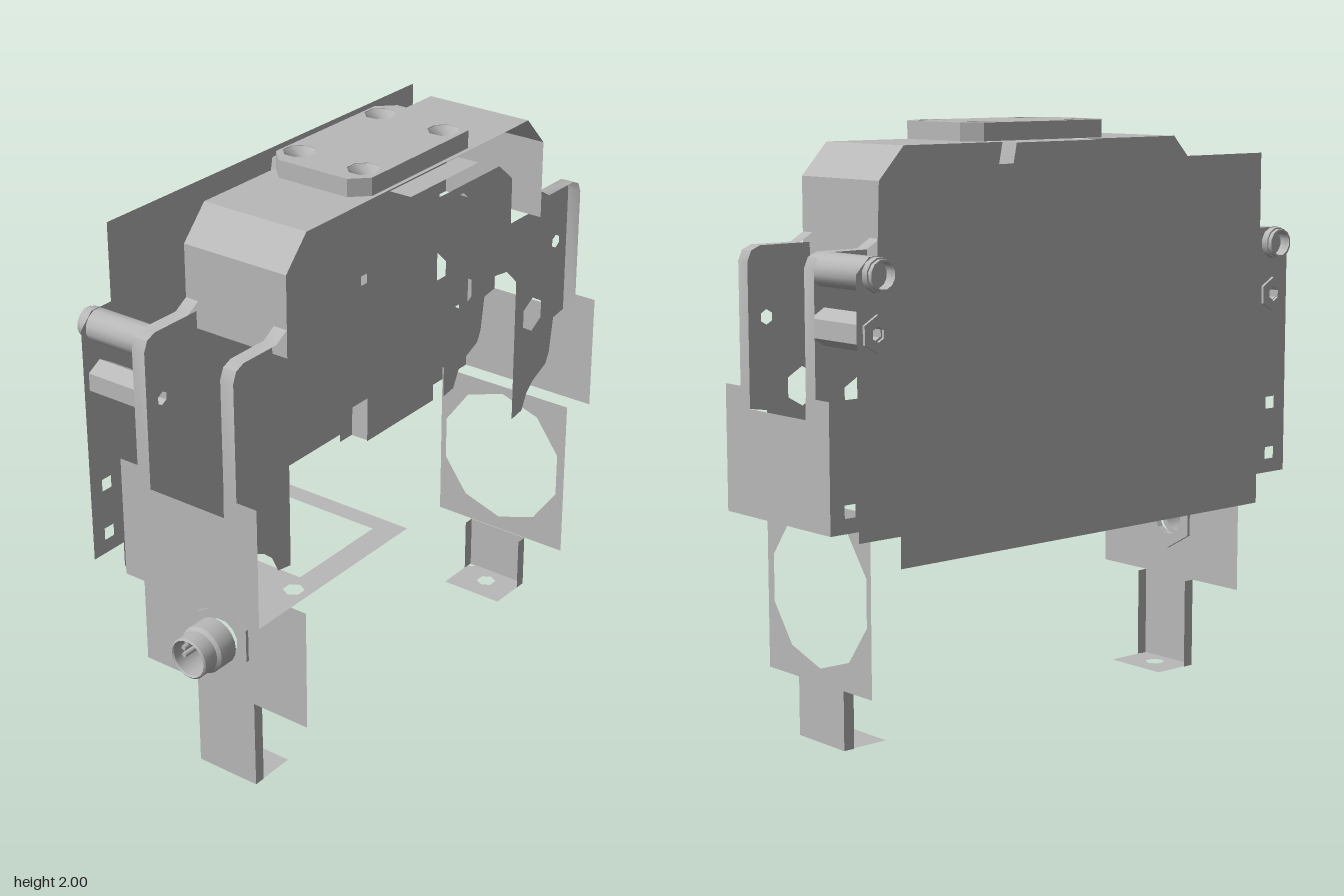
import * as THREE from 'three';
import { mergeGeometries, toCreasedNormals } from 'three/addons/utils/BufferGeometryUtils.js';

const steel = new THREE.MeshStandardMaterial({ color: 0xb8b8b8, side: THREE.DoubleSide });
steel.name = 'grey steel';

// hole: [u, v, radius, sides]
function ngon([u, v, r, n = 6], Kind = THREE.Path) {
  const pts = [];
  for (let i = 0; i < n; i++) {
    const a = (i + 0.5) * 2 * Math.PI / n;
    pts.push(new THREE.Vector2(u + r * Math.cos(a), v + r * Math.sin(a)));
  }
  return new Kind(pts);
}
function outline(pts, holes = []) {
  const s = new THREE.Shape(pts.map(p => new THREE.Vector2(...p)));
  holes.forEach(h => s.holes.push(Array.isArray(h[0]) ? new THREE.Path(h.map(p => new THREE.Vector2(...p))) : ngon(h)));
  return s;
}
const rect = (a, b, c, d) => [[a, b], [c, b], [c, d], [a, d]];

// thin sheets in the three planes
const sideSheet = (x, pts, holes) => new THREE.ShapeGeometry(outline(pts, holes)).rotateY(-Math.PI / 2).translate(x, 0, 0);
const frontSheet = (z, pts, holes) => new THREE.ShapeGeometry(outline(pts, holes)).translate(0, 0, z);
const floorSheet = (y, pts, holes) => new THREE.ShapeGeometry(outline(pts, holes)).rotateX(Math.PI / 2).translate(0, y, 0);

// folded strip: a (z, y) path swept from x0 to x1
function strip(x0, x1, path) {
  const v = [], idx = [];
  path.forEach(([z, y], i) => {
    v.push(x0, y, z, x1, y, z);
    if (i) { const k = 2 * i; idx.push(k - 2, k - 1, k, k - 1, k + 1, k); }
  });
  const g = new THREE.BufferGeometry();
  g.setAttribute('position', new THREE.Float32BufferAttribute(v, 3));
  g.setIndex(idx);
  const flat = g.toNonIndexed();
  flat.computeVertexNormals();
  return toCreasedNormals(flat, 0.6);
}

// hollow stud along x
function stud(x0, x1, y, z, r, inner, n) {
  const s = ngon([0, 0, r, n], THREE.Shape);
  s.holes.push(ngon([0, 0, inner, n]));
  const g = new THREE.ExtrudeGeometry(s, { depth: x1 - x0, bevelEnabled: false });
  return toCreasedNormals(g.rotateY(Math.PI / 2).translate(x0, y, z), 0.7);
}

export function createModel() {
  const model = new THREE.Group();
  // the housing's plane of symmetry lies just behind the centre
  const housing = new THREE.Group();
  housing.name = 'housing';
  housing.position.z = -0.01;
  model.add(housing);
  const add = (name, ...geos) => {
    const list = geos.map(g => {
      const n = g.index ? g.toNonIndexed() : g;
      n.deleteAttribute('uv');
      return n;
    });
    const m = new THREE.Mesh(mergeGeometries(list), steel);
    m.name = name;
    housing.add(m);
  };
  const flip = pts => pts.map(([z, y]) => [-z, y]);
  const mirrored = half => [...half, ...flip(half).reverse()];

  // Cover: folded top and end walls, one side flange split by the boss
  const screws = [[-0.08, 0.215], [0.175, 0.215], [-0.08, -0.215], [0.175, -0.215]];
  const flange = [[0.59, 1.555], [0.71, 1.555], [0.7, 1.83], [0.6, 1.937], [0.175, 1.937], [0.205, 1.79], [0.51, 1.79], [0.59, 1.72]];
  const wall = [[0.6, 1.937], [0.7, 1.83], [0.7, 1.555]];
  add('cover',
    floorSheet(1.937, rect(-0.15, -0.6, 0.25, 0.6), screws.map(([x, z]) => [x, z, 0.03, 8])),
    strip(-0.15, 0.25, wall), strip(-0.15, 0.25, flip(wall)),
    sideSheet(-0.15, flange), sideSheet(-0.15, flip(flange)));
  add('coverLedge', floorSheet(1.932, rect(0.25, -0.19, 0.33, 0.18)));

  // Raised boss on the cover's right flank
  const boss = [[0.25, 0.75], [0.26, 1.55], [0.18, 1.937], [-0.19, 1.937], [-0.27, 1.55], [-0.24, 0.75]];
  add('sideBoss', sideSheet(-0.22, [...boss, [-0.17, 0.75], [-0.17, 0.88], [0.175, 0.88], [0.175, 0.75]]),
    ...boss.slice(1).map((p, i) => strip(-0.22, -0.15, [boss[i], p])));

  // Mounting block with four countersunk holes
  const oct = [[-0.14, -0.26], [-0.085, -0.315], [0.185, -0.315], [0.24, -0.26],
    [0.24, 0.26], [0.185, 0.315], [-0.085, 0.315], [-0.14, 0.26]];
  const block = new THREE.ExtrudeGeometry(outline(oct, screws.map(([x, z]) => [x, z, 0.055, 8])),
    { depth: 0.06, bevelEnabled: false }).rotateX(Math.PI / 2).translate(0, 2, 0);
  const sinks = screws.map(([x, z]) => new THREE.LatheGeometry(
    [[0.055, 1.998], [0.032, 1.972], [0.03, 1.942]].map(p => new THREE.Vector2(...p)), 8, Math.PI / 8).translate(x, 0, z));
  add('mountingBlock', block, ...sinks);

  // Two arched side plates, and a centre panel behind the right one's opening
  const shoulder = [[0.89, 1.09], [0.955, 1.1], [0.955, 1.57], [0.94, 1.605], [0.905, 1.62], [0.71, 1.62],
    [0.71, 1.555], [0.59, 1.555], [0.59, 1.72], [0.51, 1.79]];
  const jag = [[0.637, 0.78], [0.7, 0.79], [0.73, 0.85], [0.77, 0.885], [0.85, 0.92], [0.87, 0.96]];
  const opening = mirrored([[0.637, 1.32], [0.575, 1.38], [0.43, 1.4], [0.385, 1.45], [0.37, 1.7], [0.3, 1.76]]);
  const arch = [...mirrored([...jag, ...shoulder]), ...[...opening].reverse()];
  const plateHoles = [1, -1].flatMap(s => [[s * 0.748, 1.155, 0.065, 6], [s * 0.885, 1.39, 0.025, 6]]);
  add('leftSidePlate', sideSheet(0.2, arch, plateHoles));
  add('rightSidePlate', sideSheet(-0.1, arch, plateHoles));
  const notch = [[-0.637, 0.75], [-0.235, 0.75], [-0.235, 0.92], [0.24, 0.92], [0.24, 0.75], [0.637, 0.75]];
  add('centrePanel', sideSheet(-0.147, [...opening, ...notch], [[0.215, 1.385, 0.025, 4], [-0.215, 1.385, 0.025, 4]]));

  // Large outer cover sheet
  add('outerSheet', sideSheet(-0.37, rect(-0.8, 0.65, 0.805, 1.88)));

  for (const s of [1, -1]) {
    const end = s > 0 ? 'front' : 'back';
    // rounded rims folded outwards from the side plates
    const rim = [[0.955, 1.1], [0.955, 1.57], [0.94, 1.605], [0.905, 1.62], [0.75, 1.62], [0.7, 1.65]].map(([z, y]) => [s * z, y]);
    add(end + 'Rims', strip(-0.15, -0.1, rim), strip(0.2, 0.25, rim));
    // notched end plate and its folded flange
    const square = [[s * 0.88, 0.82, 0.03, 4], [s * 0.88, 1, 0.03, 4]];
    add(end + 'EndPlate',
      frontSheet(s * 0.957, [[-0.22, 0.75], [0.33, 0.75], [0.33, 1.17], [0.2, 1.17], [0.2, 1.1], [-0.1, 1.1], [-0.1, 1.17], [-0.22, 1.17]]),
      sideSheet(-0.22, rect(s * 0.65, 0.75, s * 0.957, 1.17), square));
    // outer flange behind the large sheet
    add(end + 'OuterFlange', sideSheet(-0.36,
      [[s * 0.72, 0.75], [s * 0.955, 0.75], [s * 0.955, 1.57], [s * 0.905, 1.62], [s * 0.72, 1.62]],
      [...square, [s * 0.885, 1.39, 0.025, 6]]));
    // round and hexagonal studs
    const z = s * 0.88;
    add(end + 'Studs', stud(-0.385, -0.1, 1.565, z, 0.055, 0.043, 12), stud(-0.4, -0.38, 1.565, z, 0.05, 0.043, 12),
      stud(-0.37, -0.1, 1.385, z, 0.06, 0.025, 6));
    // leg with folded edges and a foot
    const top = s > 0 ? 0.32 : 0.2;
    const zl = s * 0.8, zi = s * 0.76;
    add(end + 'Leg', frontSheet(zl, rect(-0.07, 0, 0.17, top)),
      sideSheet(-0.07, rect(zi, 0, zl, top)), sideSheet(0.17, rect(zi, 0, zl, top)),
      floorSheet(0.002, [[-0.07, s * 0.63], [0.17, s * 0.63], [0.17, s * 0.77], [0.14, s * 0.8], [-0.04, s * 0.8], [-0.07, s * 0.77]],
        [[0.05, s * 0.73, 0.035, 6]]));
  }

  // Floor frame with a square window
  add('floorFrame', floorSheet(0.75, rect(-0.22, 0.18, 0.33, 0.955),
    [rect(-0.13, 0.25, 0.24, 0.64), [-0.17, 0.71, 0.035, 6], [0.27, 0.71, 0.035, 6]]));

  // Front connector plate and back ring plate
  add('connectorPlate', frontSheet(0.8, rect(-0.29, 0.32, 0.39, 0.75), [[0.05, 0.54, 0.066, 12]]));
  add('ringPlate', frontSheet(-0.802, rect(-0.22, 0.2, 0.33, 0.8), [[0.05, 0.51, 0.26, 10]]));

  // Connector: thin nut, hollow stepped barrel and contact pins
  const nut = ngon([0.05, 0.54, 0.118, 6], THREE.Shape);
  nut.holes.push(ngon([0.05, 0.54, 0.066, 12]));
  add('connectorNut', new THREE.ExtrudeGeometry(nut, { depth: 0.024, bevelEnabled: false }).translate(0, 0, 0.788));
  const barrel = new THREE.LatheGeometry(
    [[0.062, 0.84], [0.083, 0.84], [0.083, 0.91], [0.072, 0.92], [0.072, 0.975], [0.066, 0.98], [0.062, 0.975], [0.062, 0.84]]
      .map(p => new THREE.Vector2(...p)), 20);
  add('connectorBarrel', toCreasedNormals(barrel.rotateX(Math.PI / 2).translate(0.05, 0.54, 0), 0.5));
  const pins = [0.9, 1.6, 2.3, 2.9, 3.5].map(a => new THREE.CylinderGeometry(0.009, 0.009, 0.1, 8)
    .rotateX(Math.PI / 2).translate(0.05 + 0.045 * Math.cos(a), 0.54 + 0.045 * Math.sin(a), 0.9));
  add('contactPins', ...pins);

  return model;
}
